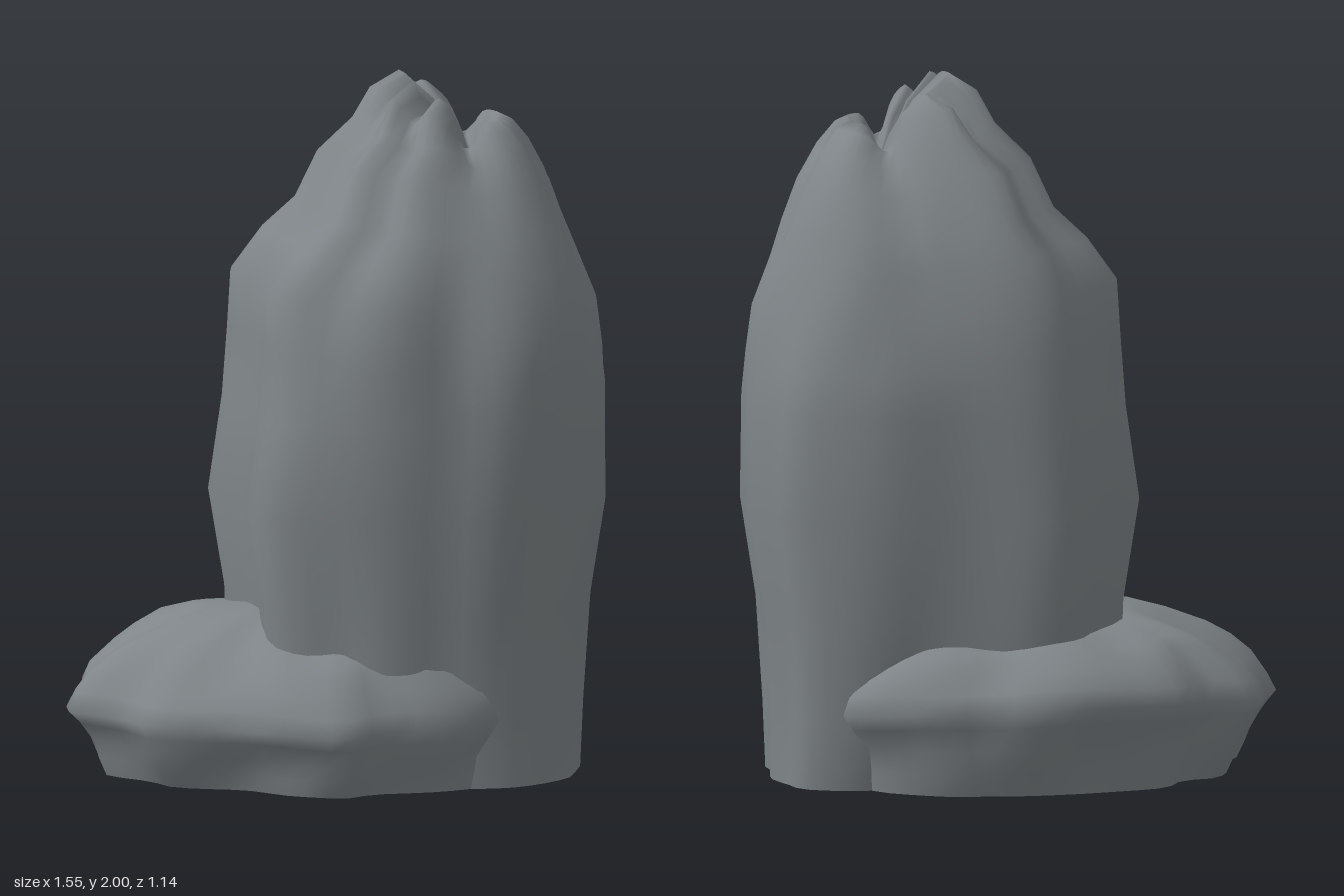
import * as THREE from 'three';

const SEG = 56;
const { lerp: mix, smoothstep } = THREE.MathUtils;
const material = new THREE.MeshStandardMaterial({ color: 0x7f8588, roughness: 0.9 });

// Closed smooth plan outline, sampled evenly; points run from +x towards +z.
function outline(points) {
  const curve = new THREE.CatmullRomCurve3(
    points.map(([x, z]) => new THREE.Vector3(x, 0, z)), true, 'centripetal');
  return Array.from({ length: SEG }, (_, j) => curve.getPointAt(j / SEG));
}

// Skin stacked rings, with a flat underside and a closed crown.
function loft(rings, name) {
  const pos = [], index = [];
  const n = rings.length;
  rings.forEach(r => r.forEach(p => pos.push(p.x, p.y, p.z)));
  for (let i = 0; i < n - 1; i++) {
    for (let j = 0; j < SEG; j++) {
      const k = (j + 1) % SEG;
      const a = i * SEG + j, b = i * SEG + k, c = a + SEG, d = b + SEG;
      index.push(a, c, b, b, c, d);
    }
  }
  const centre = ring => ring.reduce((s, p) => s.add(p), new THREE.Vector3()).divideScalar(SEG);
  const top = pos.length / 3;
  pos.push(...centre(rings[n - 1]).toArray());
  const base = top + 1;
  rings[0].forEach(p => pos.push(p.x, p.y, p.z));
  pos.push(...centre(rings[0]).toArray());
  for (let j = 0; j < SEG; j++) {
    const k = (j + 1) % SEG;
    index.push(top, (n - 1) * SEG + k, (n - 1) * SEG + j);
    index.push(base + SEG, base + j, base + k);
  }
  const geometry = new THREE.BufferGeometry();
  geometry.setAttribute('position', new THREE.Float32BufferAttribute(pos, 3));
  geometry.setIndex(index);
  geometry.computeVertexNormals();
  const mesh = new THREE.Mesh(geometry, material);
  mesh.name = name;
  return mesh;
}

// Tall boulder: vertical lobes that fold into a dimple at the crown.
function tallRock() {
  const plan = outline([
    [0.77, 0.02], [0.76, 0.12], [0.71, 0.22], [0.69, 0.29], [0.55, 0.41], [0.4, 0.47],
    [0.25, 0.45], [0.1, 0.46], [-0.1, 0.42], [-0.25, 0.34], [-0.3, 0.2], [-0.28, 0.08],
    [-0.35, -0.15], [-0.25, -0.3], [-0.15, -0.4], [-0.03, -0.43], [0.22, -0.4],
    [0.45, -0.4], [0.6, -0.36], [0.71, -0.3], [0.73, -0.2], [0.77, -0.08],
  ]);
  // left y, left x, right y, right x, back z, front z, fold depth, crown drop, corner rounding
  const rows = [
    [0, -0.28, 0, 0.71, -0.35, 0.43, 0.08, 0, 0.1],
    [0.2, -0.29, 0.2, 0.71, -0.38, 0.43, 0.04, 0, 0.1],
    [0.5, -0.3, 0.5, 0.73, -0.41, 0.44, 0.03, 0, 0.1],
    [0.78, -0.35, 0.78, 0.775, -0.42, 0.47, 0.03, 0, 0.1],
    [1.05, -0.31, 1.08, 0.775, -0.425, 0.475, 0.03, 0, 0.4],
    [1.25, -0.295, 1.2, 0.765, -0.415, 0.47, 0.035, 0, 0.65],
    [1.41, -0.285, 1.33, 0.75, -0.395, 0.46, 0.045, 0, 0.85],
    [1.53, -0.2, 1.47, 0.695, -0.36, 0.42, 0.055, 0, 0.85],
    [1.62, -0.11, 1.58, 0.655, -0.32, 0.375, 0.065, 0.01, 0.75],
    [1.76, -0.05, 1.7, 0.61, -0.25, 0.31, 0.08, 0.02, 0.7],
    [1.86, 0.05, 1.79, 0.56, -0.185, 0.255, 0.1, 0.04, 0.7],
    [1.95, 0.1, 1.85, 0.51, -0.12, 0.2, 0.11, 0.06, 0.7],
    [2.0, 0.18, 1.87, 0.47, -0.07, 0.15, 0.1, 0.09, 0.7],
    [1.92, 0.27, 1.81, 0.44, -0.03, 0.09, 0.05, 0.06, 0.5],
    [1.77, 0.35, 1.74, 0.4, 0.01, 0.05, 0, 0, 0],
  ];
  const folds = [[0.1, 0.2], [1.3, 0.2], [2.15, 0.16], [2.75, 0.17], [3.9, 0.2], [5.05, 0.22]];
  const rings = rows.map(([yl, xl, yr, xr, zb, zf, depth, drop, round], i) => plan.map(p => {
    const u = (p.x - 0.21) / 0.56, v = (p.z - 0.02) / 0.45;
    const angle = Math.atan2(v, u) + 0.06 * Math.sin(i * 0.9);
    let fold = 0;
    for (const [a, w] of folds) {
      const d = Math.atan2(Math.sin(angle - a), Math.cos(angle - a));
      fold += Math.exp(-d * d / (w * w));
    }
    const rough = 0.006 * (Math.sin(7 * angle + i * 1.3) + Math.sin(11 * angle - i * 0.9));
    // the front-left-facing and back-right-facing corners taper most
    const corner = round * (0.15 + 0.85 * smoothstep(-u * v, 0, 0.5));
    const s = mix(1, Math.min(1, 1 / Math.hypot(u, v)), corner) - depth * fold + rough;
    const side = smoothstep(u, -1, 0.5);
    return new THREE.Vector3(
      mix(xl, xr, (u * s + 1) / 2), mix(yl, yr, side) - drop * fold, mix(zb, zf, (v * s + 1) / 2));
  }));
  return loft(rings, 'tallRock');
}

// Low, lumpy boulder wrapped around the foot.
function baseRock() {
  const plan = outline([
    [0.58, 0], [0.53, 0.25], [0.42, 0.4], [0.25, 0.48], [0.06, 0.51], [-0.03, 0.57],
    [-0.2, 0.51], [-0.35, 0.41], [-0.6, 0.3], [-0.64, 0.22], [-0.78, 0.07], [-0.72, -0.08],
    [-0.68, -0.27], [-0.62, -0.36], [-0.5, -0.39], [-0.42, -0.49], [-0.3, -0.54],
    [-0.14, -0.57], [0.08, -0.57], [0.18, -0.53], [0.32, -0.5], [0.52, -0.38], [0.58, -0.2],
  ]);
  // height, scale of outline, lumpiness, extra height of the rounder back
  const rows = [
    [0, 0.83, 0.01, 0], [0.05, 0.87, 0.015, 0.02], [0.1, 0.91, 0.02, 0.04], [0.15, 0.96, 0.01, 0.06],
    [0.19, 1, 0, 0.07], [0.24, 0.96, 0.01, 0.07], [0.29, 0.89, 0.015, 0.06], [0.34, 0.8, 0.015, 0.05],
    [0.38, 0.71, 0.015, 0.03], [0.43, 0.55, 0.01, 0], [0.47, 0.38, 0, -0.03], [0.48, 0.1, 0, -0.04],
  ];
  const cx = -0.08;
  const rings = rows.map(([y, scale, lump, back], i) => plan.map(p => {
    const a = Math.atan2(p.z, p.x - cx);
    // fuller and steeper where it meets the tall boulder
    const full = smoothstep(p.x, -0.1, 0.35) * (p.z > 0 ? 0.55 : 0.25);
    const s = mix(scale, 1, full) + lump * (Math.sin(5 * a + i * 0.8) + 0.6 * Math.sin(11 * a - i));
    const lift = back * Math.max(0, -Math.sin(a)) + y * lump * 2 * Math.sin(7 * a);
    return new THREE.Vector3(cx + (p.x - cx) * s, y + lift, p.z * s);
  }));
  return loft(rings, 'baseRock');
}

export function createModel() {
  const group = new THREE.Group();
  group.name = 'rockFormation';
  group.add(tallRock(), baseRock());
  return group;
}
